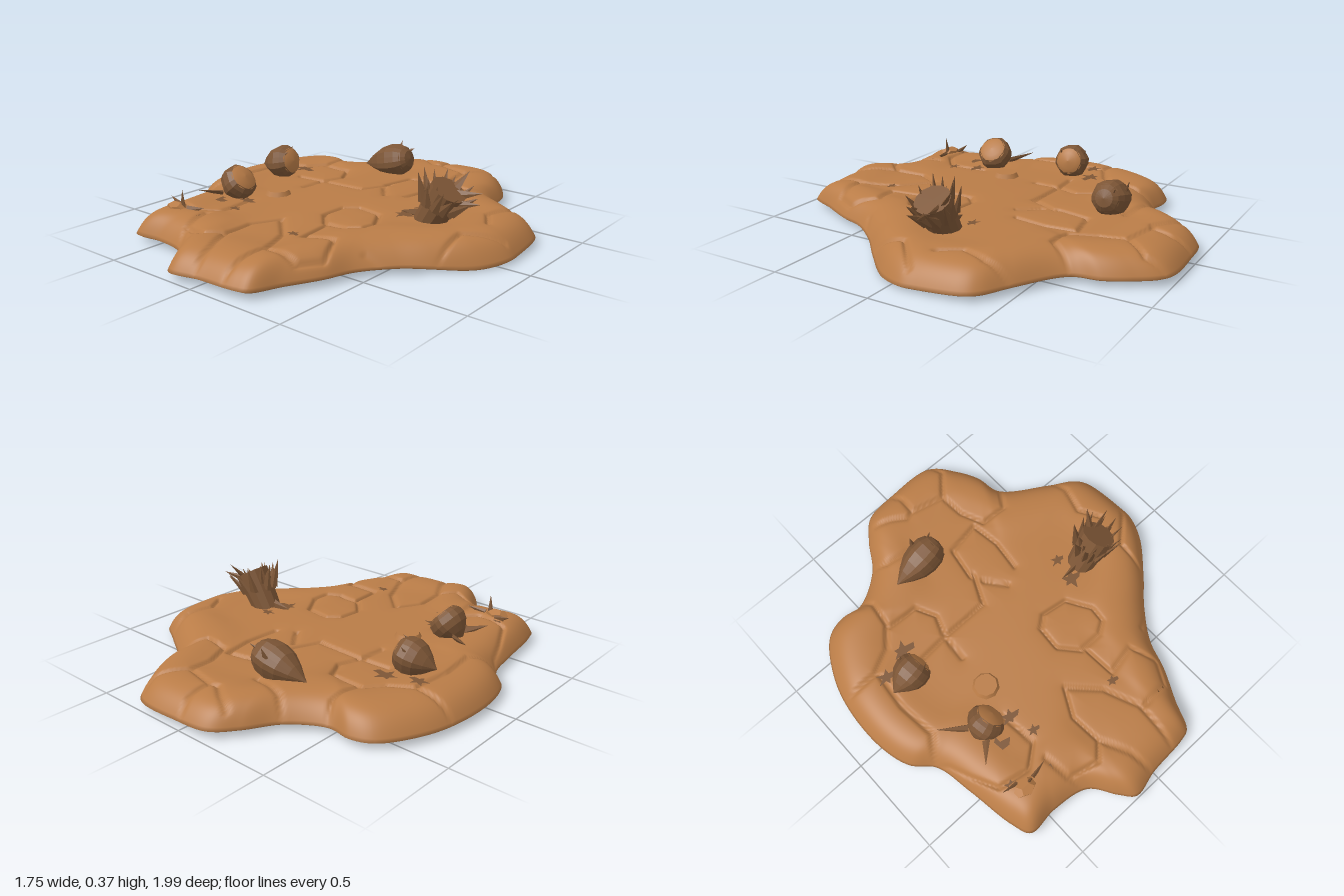
import * as THREE from 'three';

const clay = new THREE.MeshStandardMaterial({ color: 0xb97c47, side: THREE.DoubleSide });
clay.name = 'clay';
const husk = new THREE.MeshStandardMaterial({ color: 0x7d5636, side: THREE.DoubleSide, flatShading: true });
husk.name = 'husk brown';

const V = (x, y, z) => new THREE.Vector3(x, y, z);
const UP = V(0, 1, 0);

// Slab outline, x and z pairs in hundredths
const outline = [3, -99, 27, -98, 37, -87, 43, -76, 46, -63, 67, -48, 80, -40, 84, -34, 87, -13, 87, -5, 82, 7, 68, 23, 56, 35, 45, 50,
  40, 64, 32, 80, 26, 93, 20, 95, 0, 96.5, -14, 99, -20, 93, -29, 81, -47, 77.5, -62, 78, -66, 69, -70, 45, -74, 26, -83, 16,
  -87.5, 0, -87, -24, -82, -42, -71, -59, -61, -63, -49, -62, -33, -72, -23, -87, -14, -96.5];

// Cracks between the rim stones
const rimCracks = [
  [-34, -73, -26, -67, -9, -63], [-17, -88, -9, -84, -2, -79, 2, -80, 3, -90, 0, -100], [2, -80, 19, -76, 29, -88, 27, -99],
  [19, -76, 20, -63, 25, -51, 38, -50, 47, -64], [-49, -63, -45, -55, -47, -42, -55, -32, -67, -26, -87, -27],
  [68, -49, 69, -36, 65, -23, 71, -13], [83, -8, 68, 5, 68, 23], [-75, 27, -66, 14, -68, -5, -66, -24],
  [-74, 26, -70, 30, -66, 41, -60, 54, -44, 57, -34, 49, -36, 30], [-35, 58, -33, 71, -29, 82], [56, 38, 45, 43]];
// Cracks on the inner slabs and front tongue
const innerCracks = [
  [-47, -40, -31, -39, -26, -29, -30, -18, -45, -17], [-30, -18, -5, -18, 2, -33], [-30, -18, -31, -4],
  [0, -33, 3, -50, 20, -53, 22, -38, 20, -22], [3, -27, 11, -17],
  [-33, 72, -18, 76, -11, 69, -12, 53, -5, 40], [-11, 69, -4, 83, -1, 98], [-5, 40, 8, 53, 15, 70, 14, 96],
  [15, 72, 32, 71, 38, 60, 32, 47, 17, 50, 16, 34],
  [33, 20, 32, 28, 26, 32, 14, 32, 6, 23, 7, 11, 13, 6, 26, 8, 33, 20]];

const segments = [];
for (const line of [...rimCracks, ...innerCracks])
  for (let i = 0; i + 3 < line.length; i += 2) segments.push(line.slice(i, i + 4).map((n) => n / 100));

function crackDistance(x, z) {
  let best = 1;
  for (const [ax, az, bx, bz] of segments) {
    const dx = bx - ax, dz = bz - az;
    const t = Math.max(0, Math.min(1, ((x - ax) * dx + (z - az) * dz) / (dx * dx + dz * dz)));
    best = Math.min(best, Math.hypot(x - ax - t * dx, z - az - t * dz));
  }
  return best;
}

// Underside height: flat, drooping on the left flank
const droop = (x, z) => 0.027 - 0.026 * Math.exp(-((x - 0.8) ** 2) / 0.025 - ((z - 0.1) ** 2) / 0.15);

// Top height from the distance to the rim, with cracks sunk in
function topHeight(x, z, rimDist) {
  const low = droop(x, z);
  const rise = 1 - Math.pow(1 - Math.min(rimDist / 0.19, 1), 3.5);
  const swell = 0.006 * Math.sin(5 * x + 1) * Math.cos(4 * z) + 0.012 * Math.exp(-((rimDist - 0.2) ** 2) / 0.01);
  const c = crackDistance(x, z);
  return low + 0.008 + rise * (0.127 - low + swell - 0.017 * Math.exp(-((c / 0.009) ** 2)) - 0.008 * Math.exp(-c / 0.03));
}

function rimPoints(count) {
  const pts = [];
  for (let i = 0; i < outline.length; i += 2) pts.push(V(outline[i] / 100, 0, outline[i + 1] / 100));
  return new THREE.CatmullRomCurve3(pts, true, 'centripetal').getSpacedPoints(count).slice(0, count);
}

// Concentric rings from the centre out, then back in under the slab
function slabGeometry() {
  const n = 480, rings = 85, pos = [], idx = [];
  const rim = rimPoints(n);
  for (let j = 0; j <= rings + 4; j++) {
    const under = j - rings;
    const t = under > 0 ? [0.985, 0.9, 0.5, 0][under - 1] : Math.pow(j / rings, 0.8);
    for (const p of rim) {
      const x = p.x * t, z = p.z * t;
      pos.push(x, under > 0 ? droop(x, z) : topHeight(x, z, (1 - t) * Math.hypot(p.x, p.z)), z);
    }
  }
  for (let j = 0; j < rings + 4; j++)
    for (let i = 0; i < n; i++) {
      const a = j * n + i, b = j * n + (i + 1) % n;
      idx.push(a, b, b + n, a, b + n, a + n);
    }
  // Wind so that the top faces up
  for (let i = 0; i < idx.length; i += 3) [idx[i + 1], idx[i + 2]] = [idx[i + 2], idx[i + 1]];
  const g = new THREE.BufferGeometry();
  g.setAttribute('position', new THREE.Float32BufferAttribute(pos, 3));
  g.setIndex(idx);
  g.computeVertexNormals();
  return g;
}

let seed = 7;
const rand = () => (seed = (seed * 16807) % 2147483647) / 2147483647;

function add(parent, name, geometry, material) {
  const m = new THREE.Mesh(geometry, material);
  m.name = name;
  parent.add(m);
  return m;
}

// Place a y-axis mesh so it runs from one point to another
function aim(mesh, from, to) {
  mesh.position.copy(from);
  mesh.quaternion.setFromUnitVectors(UP, to.clone().sub(from).normalize());
  return mesh;
}

function splinter(parent, from, to, r) {
  const len = from.distanceTo(to);
  const g = new THREE.ConeGeometry(r, len, 5).translate(0, len / 2, 0).scale(1, 1, 0.45);
  return aim(add(parent, 'splinter', g, husk), from, to);
}

// Teardrop pod with a ridged skin, optionally with a clay-filled mouth
function pod(parent, name, tail, mouth, r, filled) {
  const group = new THREE.Group();
  group.name = name;
  parent.add(group);
  const len = tail.distanceTo(mouth);
  const lathe = (pts) => new THREE.LatheGeometry(pts.map(([a, b]) => new THREE.Vector2(a * r, b * len)), 18);
  const skin = lathe([[0, 0], [0.2, 0.1], [0.55, 0.26], [0.88, 0.46], [1, 0.66], [0.95, 0.85], [0.75, 0.98]]);
  const p = skin.attributes.position;
  for (let i = 0; i < p.count; i++) {
    const k = 1 + 0.04 * Math.sin(6 * Math.atan2(p.getZ(i), p.getX(i)));
    p.setXYZ(i, p.getX(i) * k, p.getY(i), p.getZ(i) * k);
  }
  skin.computeVertexNormals();
  aim(add(group, 'podSkin', skin, husk), tail, mouth);
  aim(add(group, 'podMouth', lathe([[0.8, 0.95], [0.5, 1.04], [0, 1.07]]), filled ? clay : husk), tail, mouth);
  return group;
}

// Jagged thin patch of husk lying on the ground
function scrap(parent, x, z, size, y = 0.142) {
  const shape = new THREE.Shape();
  for (let i = 0; i < 11; i++) {
    const r = size * (i % 2 ? 0.45 : 0.7 + 0.5 * rand()), a = (i / 11) * Math.PI * 2;
    shape[i ? 'lineTo' : 'moveTo'](r * Math.cos(a), r * Math.sin(a) * 0.8);
  }
  const m = add(parent, 'huskScrap', new THREE.ShapeGeometry(shape).rotateX(-Math.PI / 2), husk);
  m.position.set(x, y, z);
}

export function createModel() {
  const model = new THREE.Group();
  model.name = 'crackedGround';
  add(model, 'groundSlab', slabGeometry(), clay);

  // Small raised pebble
  const pebble = add(model, 'flatPebble', new THREE.CylinderGeometry(0.055, 0.07, 0.03, 9), clay);
  pebble.position.set(-0.32, 0.14, 0.14);

  // Three fallen pods
  const back = pod(model, 'backPod', V(-0.3, 0.145, -0.54), V(-0.03, 0.215, -0.55), 0.085, false);
  splinter(back, V(-0.13, 0.2, -0.6), V(-0.12, 0.285, -0.63), 0.03);
  splinter(back, V(-0.09, 0.22, -0.57), V(-0.02, 0.265, -0.6), 0.03);
  const side = pod(model, 'sidePod', V(-0.67, 0.17, -0.12), V(-0.48, 0.215, -0.14), 0.085, true);
  splinter(side, V(-0.57, 0.2, -0.17), V(-0.54, 0.27, -0.21), 0.03);
  splinter(side, V(-0.55, 0.22, -0.08), V(-0.47, 0.27, -0.1), 0.03);
  const front = pod(model, 'frontPod', V(-0.53, 0.125, 0.29), V(-0.41, 0.235, 0.28), 0.088, true);
  splinter(front, V(-0.5, 0.15, 0.34), V(-0.58, 0.17, 0.43), 0.025);
  splinter(front, V(-0.52, 0.15, 0.24), V(-0.64, 0.18, 0.15), 0.025);

  // Broken shard pile near the front right corner
  const shards = new THREE.Group();
  shards.name = 'shardPile';
  model.add(shards);
  const stone = add(shards, 'shardStone', new THREE.DodecahedronGeometry(0.05).scale(1.2, 0.6, 0.9), clay);
  stone.position.set(-0.51, 0.145, 0.62);
  splinter(shards, V(-0.48, 0.13, 0.61), V(-0.47, 0.24, 0.62), 0.022);
  splinter(shards, V(-0.45, 0.14, 0.61), V(-0.36, 0.165, 0.59), 0.025);
  splinter(shards, V(-0.53, 0.14, 0.58), V(-0.61, 0.17, 0.57), 0.022);

  // Leaning stump with a crown of splinters
  const stump = new THREE.Group();
  stump.name = 'splinteredStump';
  model.add(stump);
  const foot = V(0.46, 0.11, -0.02), crown = V(0.57, 0.29, -0.02);
  const height = foot.distanceTo(crown);
  aim(add(stump, 'stumpTrunk', new THREE.CylinderGeometry(0.085, 0.07, height, 12, 2).translate(0, height / 2, 0), husk), foot, crown);
  for (let i = 0; i < 20; i++) {
    const a = i * 2.4, r = i < 12 ? 0.075 : 0.04;
    const from = V(0.52 + r * Math.cos(a) * 0.9, 0.21 - 0.3 * r * Math.cos(a), -0.02 + r * Math.sin(a));
    const reach = 0.1 + 0.05 * rand();
    const dir = V(0.35 + 0.65 * Math.cos(a), 0.85 - 0.35 * Math.cos(a), 0.3 * Math.sin(a)).normalize();
    splinter(stump, from, from.clone().addScaledVector(dir, reach), 0.03);
  }
  splinter(stump, V(0.55, 0.22, 0), V(0.72, 0.245, -0.04), 0.04);
  splinter(stump, V(0.55, 0.25, -0.05), V(0.7, 0.28, -0.09), 0.035);
  splinter(stump, V(0.56, 0.27, -0.07), V(0.6, 0.355, -0.14), 0.03);
  splinter(stump, V(0.46, 0.14, -0.02), V(0.32, 0.145, -0.01), 0.05);

  // Scraps of husk scattered around
  for (const [x, z, s] of [[-0.5, -0.26, 0.06], [-0.64, -0.21, 0.05], [-0.48, 0.4, 0.07], [-0.34, 0.33, 0.05],
    [0.36, 0.02, 0.06], [0.38, -0.1, 0.04], [0.14, 0.53, 0.035], [-0.4, 0.62, 0.05], [-0.3, 0.45, 0.035], [-0.55, 0.57, 0.04]])
    scrap(model, x, z, s);
  return model;
}
